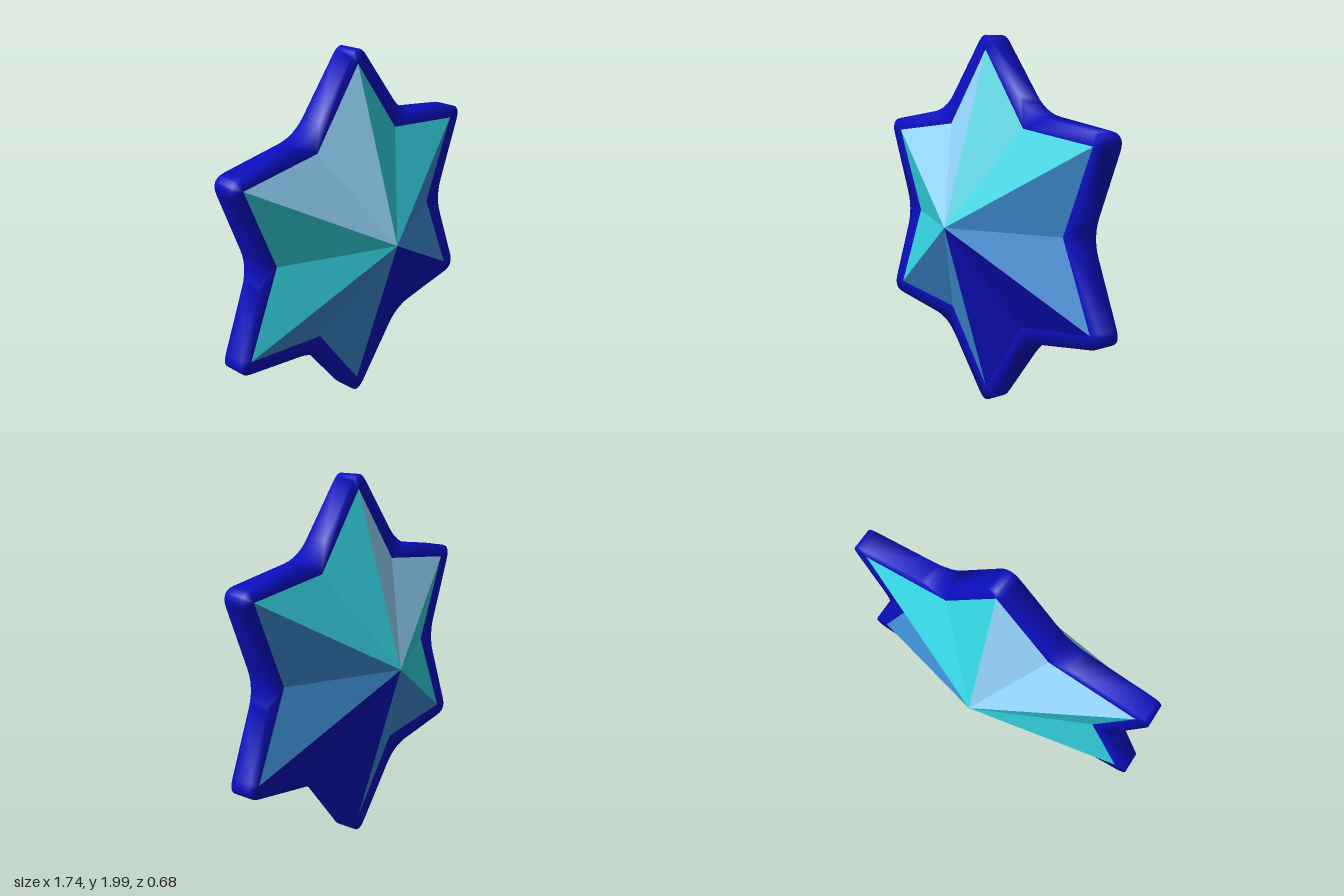
import * as THREE from 'three';

const DEPTH = 0.06;   // half thickness of the rim
const APEX = 0.34;    // height of the pyramid peaks
const NAVY = 0x0c0fc4, STEEL = 0x4090d8, CYAN = 0x34d4e2, PALE = 0x96d7ff;

// Corner k of a six-pointed star, clockwise from the top: even = tip, odd = valley
function corner(k, tip, valley) {
  const a = k * Math.PI / 6;
  const r = k % 2 === 0 ? tip : valley;
  return new THREE.Vector2(Math.sin(a) * r, Math.cos(a) * r);
}
const inner = k => corner((k + 12) % 12, 0.92, 0.6);
const outer = k => corner((k + 12) % 12, 1.03, 0.69);

function addMesh(parent, name, geometry, color, flatShading = false) {
  const mesh = new THREE.Mesh(geometry, new THREE.MeshStandardMaterial({ color, flatShading }));
  mesh.name = name;
  parent.add(mesh);
}

// Rounded star band: loops run inner front, outer front, outer back, inner back
function rimGeometry() {
  const steps = 6, rows = [[], [], [], []];
  for (let k = 0; k < 12; k++) {
    const c = outer(k), t = k % 2 === 0 ? 0.16 : 0.2;
    const bend = new THREE.QuadraticBezierCurve(
      c.clone().lerp(outer(k - 1), t), c, c.clone().lerp(outer(k + 1), t));
    const i = inner(k);
    for (const p of bend.getPoints(steps)) {
      rows[0].push(i.x, i.y, DEPTH);
      rows[1].push(p.x, p.y, DEPTH);
      rows[2].push(p.x, p.y, -DEPTH);
      rows[3].push(i.x, i.y, -DEPTH);
    }
  }
  const n = 12 * (steps + 1), index = [];
  for (let r = 0; r < 3; r++) {
    for (let j = 0; j < n; j++) {
      const a = r * n + j, b = r * n + (j + 1) % n;
      const c = a + n, d = b + n;
      index.push(a, c, d, a, d, b);
    }
  }
  // The loops run clockwise, so each triangle is turned to face outward
  for (let i = 0; i < index.length; i += 3) {
    [index[i + 1], index[i + 2]] = [index[i + 2], index[i + 1]];
  }
  const g = new THREE.BufferGeometry();
  g.setAttribute('position', new THREE.Float32BufferAttribute(rows.flat(), 3));
  g.setIndex(index);
  g.computeVertexNormals();
  return g;
}

// Two facets between neighbouring tips, folded at the valley between them
function sectorGeometry(sector, side) {
  const points = [];
  for (let k = sector * 2; k < sector * 2 + 2; k++) {
    const a = inner(k), b = inner(k + 1);
    const [p, q] = side > 0 ? [b, a] : [a, b];
    points.push(0, 0, side * APEX, p.x, p.y, side * DEPTH, q.x, q.y, side * DEPTH);
  }
  const g = new THREE.BufferGeometry();
  g.setAttribute('position', new THREE.Float32BufferAttribute(points, 3));
  g.computeVertexNormals();
  return g;
}

export function createModel() {
  const model = new THREE.Group();
  model.name = 'facetedStar';
  model.position.y = 1;

  addMesh(model, 'rim', rimGeometry(), NAVY);

  // Coloured facets, clockwise from the top, mirrored on the back
  const colors = [CYAN, STEEL, NAVY, STEEL, CYAN, PALE];
  for (const side of [1, -1]) {
    const face = new THREE.Group();
    face.name = side > 0 ? 'frontFacets' : 'backFacets';
    colors.forEach((color, s) => addMesh(face, `facetPair${s + 1}`, sectorGeometry(s, side), color, true));
    model.add(face);
  }

  const root = new THREE.Group();
  root.name = 'star';
  root.add(model);
  return root;
}
